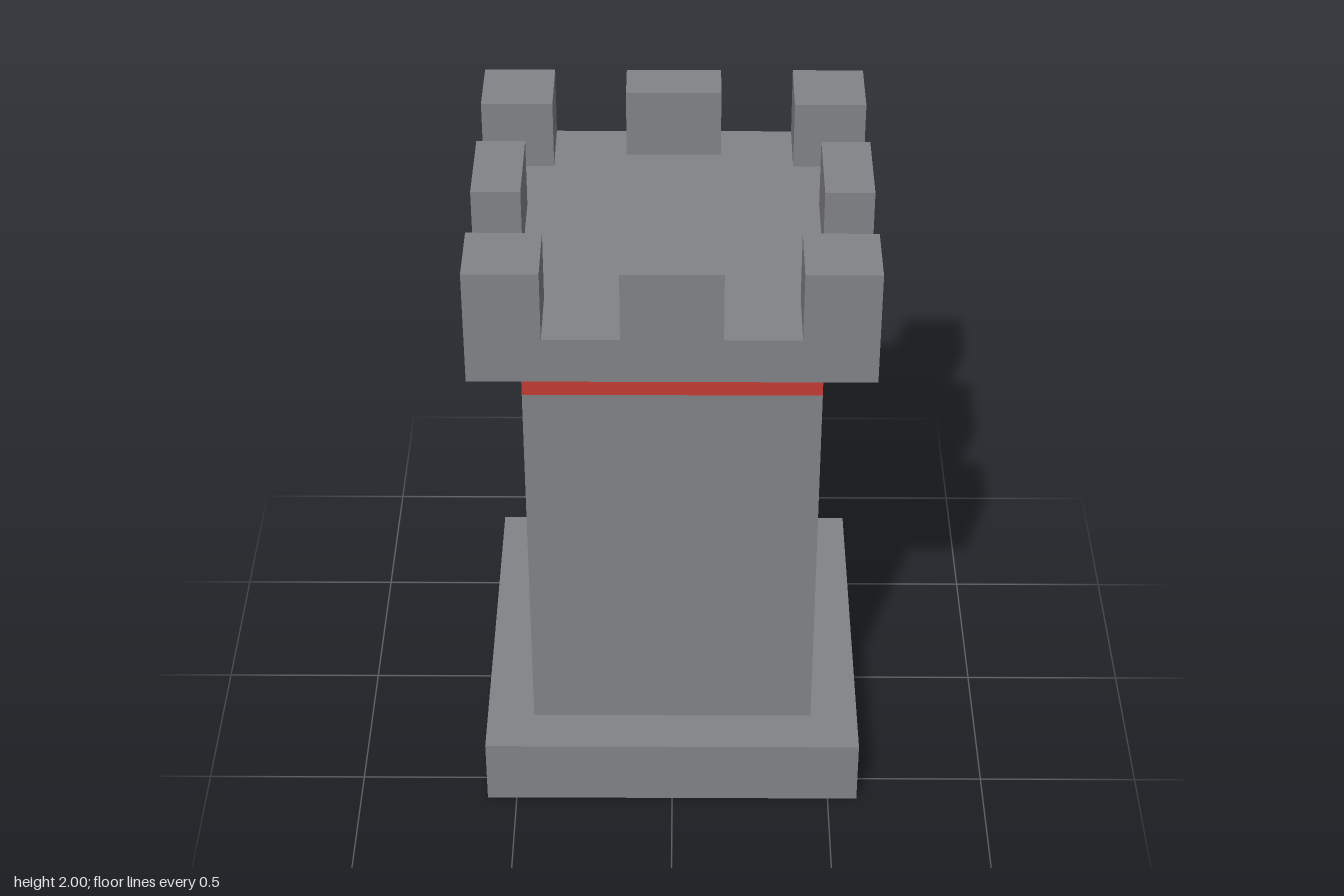
import * as THREE from 'three';

export function createModel() {
  const tower = new THREE.Group();
  tower.name = 'castleTower';

  const stone = new THREE.MeshStandardMaterial({ color: 0x828388 });
  stone.name = 'grey stone';
  const red = new THREE.MeshStandardMaterial({ color: 0xc43c35 });
  red.name = 'red band';

  // Box spanning heights y0 to y1, centred on (x, z)
  function block(name, material, width, depth, y0, y1, x = 0, z = 0) {
    const mesh = new THREE.Mesh(new THREE.BoxGeometry(width, y1 - y0, depth), material);
    mesh.name = name;
    mesh.position.set(x, (y0 + y1) / 2, z);
    tower.add(mesh);
  }

  const half = 0.593; // half width of base and battlement
  const baseTop = 0.222, bandBottom = 1.483, bandTop = 1.635, floor = 1.78, top = 2;

  // Stacked body
  block('base', stone, half * 2, half * 2, 0, baseTop);
  block('shaft', stone, 0.888, 0.888, baseTop, bandBottom);
  block('redBand', red, 0.888, 0.888, bandBottom, bandTop);
  block('battlementFloor', stone, half * 2, half * 2, bandTop, floor);

  // Square merlons on the corners, shallow ones mid-side
  const corner = 0.22, midWidth = 0.296, midDepth = 0.147;
  const cornerPos = half - corner / 2, midPos = half - midDepth / 2;
  for (const s of [-1, 1]) {
    for (const t of [-1, 1]) {
      block('cornerMerlon', stone, corner, corner, floor, top, s * cornerPos, t * cornerPos);
    }
    block('sideMerlon', stone, midDepth, midWidth, floor, top, s * midPos, 0);
    block('endMerlon', stone, midWidth, midDepth, floor, top, 0, s * midPos);
  }

  return tower;
}
